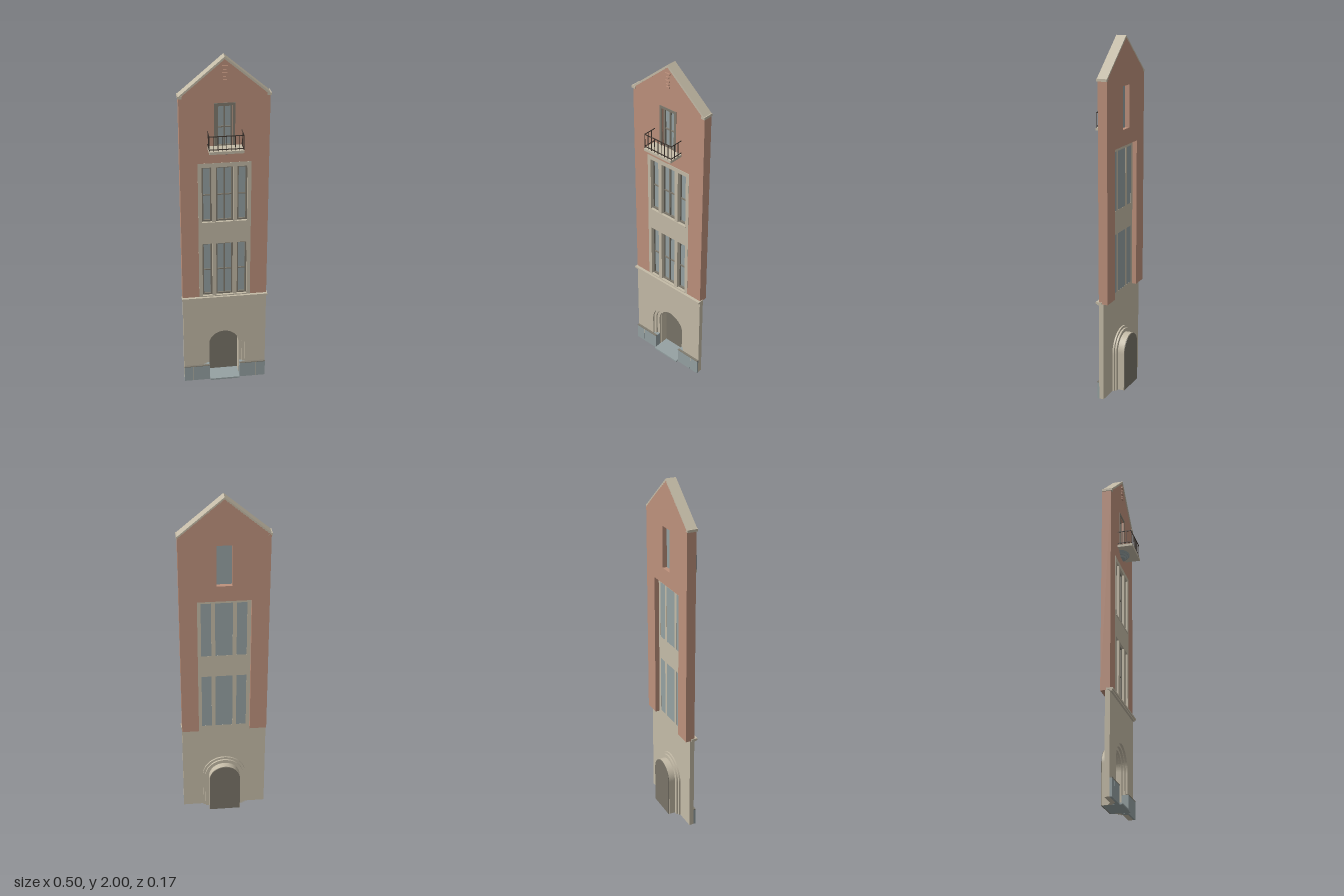
import * as THREE from 'three';

const mat = (name, color) => {
  const m = new THREE.MeshStandardMaterial({ color });
  m.name = name;
  return m;
};

export function createModel() {
  const root = new THREE.Group();
  root.name = 'townhouseFacade';
  const brick = mat('brick', 0xbd917c);
  const stone = mat('paleStone', 0xc4bba7);
  const blue = mat('blueGrey', 0x95a1a2);
  const doorMat = mat('doorTaupe', 0x797468);
  const frameMat = mat('windowFrame', 0x807b6f);
  const iron = mat('darkIron', 0x3d342e);

  const add = (name, geo, m, parent = root) => {
    const mesh = new THREE.Mesh(geo, m);
    mesh.name = name;
    parent.add(mesh);
    return mesh;
  };
  // Box given by its minimum and maximum on each axis
  const box = (name, m, x0, x1, y0, y1, z0, z1, parent) => {
    const g = new THREE.BoxGeometry(x1 - x0, y1 - y0, z1 - z0);
    g.translate((x0 + x1) / 2, (y0 + y1) / 2, (z0 + z1) / 2);
    return add(name, g, m, parent);
  };
  const extrude = (name, shape, m, z0, z1, parent) => {
    const g = new THREE.ExtrudeGeometry(shape, { depth: z1 - z0, bevelEnabled: false, curveSegments: 20 });
    g.translate(0, 0, z0);
    return add(name, g, m, parent);
  };
  const poly = (pts) => new THREE.Shape(pts.map(([x, y]) => new THREE.Vector2(x, y)));
  const rect = (x0, x1, y0, y1) => poly([[x0, y0], [x1, y0], [x1, y1], [x0, y1]]);
  const group = (name) => {
    const g = new THREE.Group();
    g.name = name;
    root.add(g);
    return g;
  };

  const W = 0.243, BACK = -0.053, MID = -0.027, EAVE = 1.785, PEAK = 1.99;

  // Brick upper wall, notched for the window panel
  const wall = poly([[-W, 0.565], [-0.147, 0.565], [-0.147, 1.41], [0.147, 1.41],
    [0.147, 0.565], [W, 0.565], [W, EAVE], [0, PEAK], [-W, EAVE]]);
  wall.holes.push(rect(-0.042, 0.042, 1.5, 1.735));
  extrude('brickWall', wall, brick, BACK, 0);

  // Gable coping and eave ends
  extrude('gableCoping', poly([[-W - 0.003, EAVE], [-W, EAVE - 0.003], [0, PEAK - 0.004], [W, EAVE - 0.003],
    [W + 0.003, EAVE], [W + 0.003, EAVE + 0.008], [0, 2], [-W - 0.003, EAVE + 0.008]]), stone, BACK, 0.005);
  for (const s of [-1, 1]) {
    const a = s * 0.225, b = s * 0.248;
    box('eaveEnd', stone, Math.min(a, b), Math.max(a, b), 1.782, 1.796, -0.053, 0.007);
  }

  // Gable ornament of small projecting bricks
  const ornament = group('gableOrnament');
  for (const [y, w] of [[1.945, 0.016], [1.925, 0.009], [1.905, 0.014], [1.885, 0.009], [1.87, 0.012]])
    box('ornamentBrick', brick, -w, w, y, y + 0.008, -0.005, 0.007, ornament);

  // Arch outline helper: straight jambs with a half-round head
  const CY = 0.225;
  const arch = (Type, r, y0 = 0) => {
    const p = new Type();
    p.moveTo(-r, y0);
    p.lineTo(r, y0);
    p.lineTo(r, CY);
    p.absarc(0, CY, r, 0, Math.PI, false);
    p.lineTo(-r, y0);
    return p;
  };
  // An arch band open at the bottom
  const archBand = (ro, ri) => {
    const s = new THREE.Shape();
    s.moveTo(ri, 0);
    s.lineTo(ro, 0);
    s.lineTo(ro, CY);
    s.absarc(0, CY, ro, 0, Math.PI, false);
    s.lineTo(-ro, 0);
    s.lineTo(-ri, 0);
    s.lineTo(-ri, CY);
    s.absarc(0, CY, ri, Math.PI, 0, true);
    s.lineTo(ri, 0);
    return s;
  };

  // Stone ground floor around the doorway
  const base = new THREE.Shape();
  base.moveTo(-W, 0);
  base.lineTo(-0.122, 0);
  base.lineTo(-0.122, CY);
  base.absarc(0, CY, 0.122, Math.PI, 0, true);
  base.lineTo(0.122, 0);
  base.lineTo(W, 0);
  base.lineTo(W, 0.565);
  base.lineTo(-W, 0.565);
  extrude('groundFloorWall', base, stone, MID, 0);

  // Stepped door surround, porch tunnel and door
  const portal = group('doorway');
  extrude('outerArchStep', archBand(0.126, 0.107), stone, -0.036, -0.012, portal);
  extrude('innerArchStep', archBand(0.112, 0.09), stone, -0.046, -0.024, portal);
  extrude('porchTunnel', archBand(0.092, 0.087), stone, -0.083, -0.036, portal);
  extrude('door', arch(THREE.Shape, 0.09), doorMat, -0.087, -0.082, portal);
  box('threshold', blue, -0.088, 0.088, 0, 0.01, -0.082, 0.025, portal);

  // Blue-grey plinth blocks with pale joints and a dark top edge
  for (const s of [-1, 1]) {
    const plinth = group(s < 0 ? 'rightPlinth' : 'leftPlinth');
    const span = (name, m, a, b, y0, y1, z0, z1) =>
      box(name, m, Math.min(s * a, s * b), Math.max(s * a, s * b), y0, y1, z0, z1, plinth);
    span('plinthInnerBlock', blue, 0.09, 0.187, 0, 0.097, 0, 0.012);
    span('plinthOuterBlock', blue, 0.19, W, 0, 0.097, 0, 0.012);
    span('plinthJoint', stone, 0.187, 0.19, 0, 0.097, 0, 0.011);
    span('plinthReturn', blue, 0.09, 0.124, 0, 0.097, -0.026, 0.002);
    span('plinthCap', frameMat, 0.09, W, 0.097, 0.101, 0, 0.013);
  }

  // Cornice between the floors
  box('corniceUpper', stone, -0.248, 0.248, 0.566, 0.576, -0.02, 0.017);
  box('corniceLower', stone, -0.245, 0.245, 0.558, 0.566, -0.02, 0.011);

  // Window: glass, outer frame, crossbar and optional centre mullion
  const makeWindow = (name, x0, x1, y0, y1, barY, mullion, zg, t) => {
    const g = group(name);
    box('glass', blue, x0, x1, y0, y1, zg, zg + 0.004, g);
    const f = rect(x0, x1, y0, y1);
    f.holes.push(rect(x0 + t, x1 - t, y0 + t, y1 - t));
    extrude('frame', f, frameMat, zg + 0.002, zg + 0.015, g);
    box('crossbar', frameMat, x0 + t, x1 - t, barY - 0.003, barY + 0.003, zg + 0.002, zg + 0.011, g);
    const c = (x0 + x1) / 2;
    if (mullion) box('mullion', frameMat, c - 0.004, c + 0.004, y0 + t, y1 - t, zg + 0.002, zg + 0.013, g);
  };

  // Stone panel with two rows of three windows
  const panel = rect(-0.147, 0.147, 0.565, 1.41);
  const columns = [[-0.126, -0.07], [-0.048, 0.048], [0.07, 0.126]];
  const rows = [[0.582, 0.92, 0.745], [1.055, 1.385, 1.215]];
  for (const [y0, y1, bar] of rows) {
    for (const [x0, x1] of columns) {
      panel.holes.push(rect(x0, x1, y0, y1));
      makeWindow('window', x0, x1, y0, y1, bar, x0 * x1 < 0, -0.0265, 0.009);
    }
    box('windowSill', stone, -0.128, 0.128, y0 - 0.008, y0, -0.005, 0.004);
  }
  extrude('windowPanel', panel, stone, MID, 0.001);

  // Balcony door with its flat surround
  makeWindow('balconyDoor', -0.043, 0.043, 1.5, 1.736, 1.61, true, -0.028, 0.009);
  const surround = rect(-0.056, 0.056, 1.505, 1.75);
  surround.holes.push(rect(-0.042, 0.042, 1.505, 1.736));
  extrude('balconyDoorSurround', surround, frameMat, -0.003, 0.003);

  // Balcony slab on a stepped half-round corbel
  const balcony = group('balcony');
  box('balconySlab', stone, -0.093, 0.093, 1.495, 1.51, 0, 0.085, balcony);
  [[0.062, 1.487, 0.045], [0.05, 1.477, 0.035], [0.034, 1.467, 0.026]].forEach(([r, y, d]) => {
    const g = new THREE.CylinderGeometry(r, r * 0.85, 0.01, 20, 1, false, -Math.PI / 2, Math.PI);
    g.scale(1, 1, d / r);
    g.translate(0, y + 0.004, 0);
    add('corbelStep', g, blue, balcony);
  });

  // Iron railing
  const railing = group('balconyRailing');
  const R = 0.0015, X = 0.092, Z = 0.079;
  for (const y of [1.52, 1.594]) {
    box('frontRail', iron, -X - R, X + R, y - 0.002, y + 0.002, Z - 0.002, Z + 0.002, railing);
    for (const s of [-1, 1])
      box('sideRail', iron, s * X - R, s * X + R, y - 0.002, y + 0.002, 0, Z, railing);
  }
  const bar = (x, z) => box('railingBar', iron, x - R, x + R, 1.51, 1.594, z - R, z + R, railing);
  for (let i = 0; i <= 8; i++) bar(-X + (2 * X * i) / 8, Z);
  for (const s of [-1, 1]) for (const z of [0.027, 0.053]) bar(s * X, z);

  return root;
}
